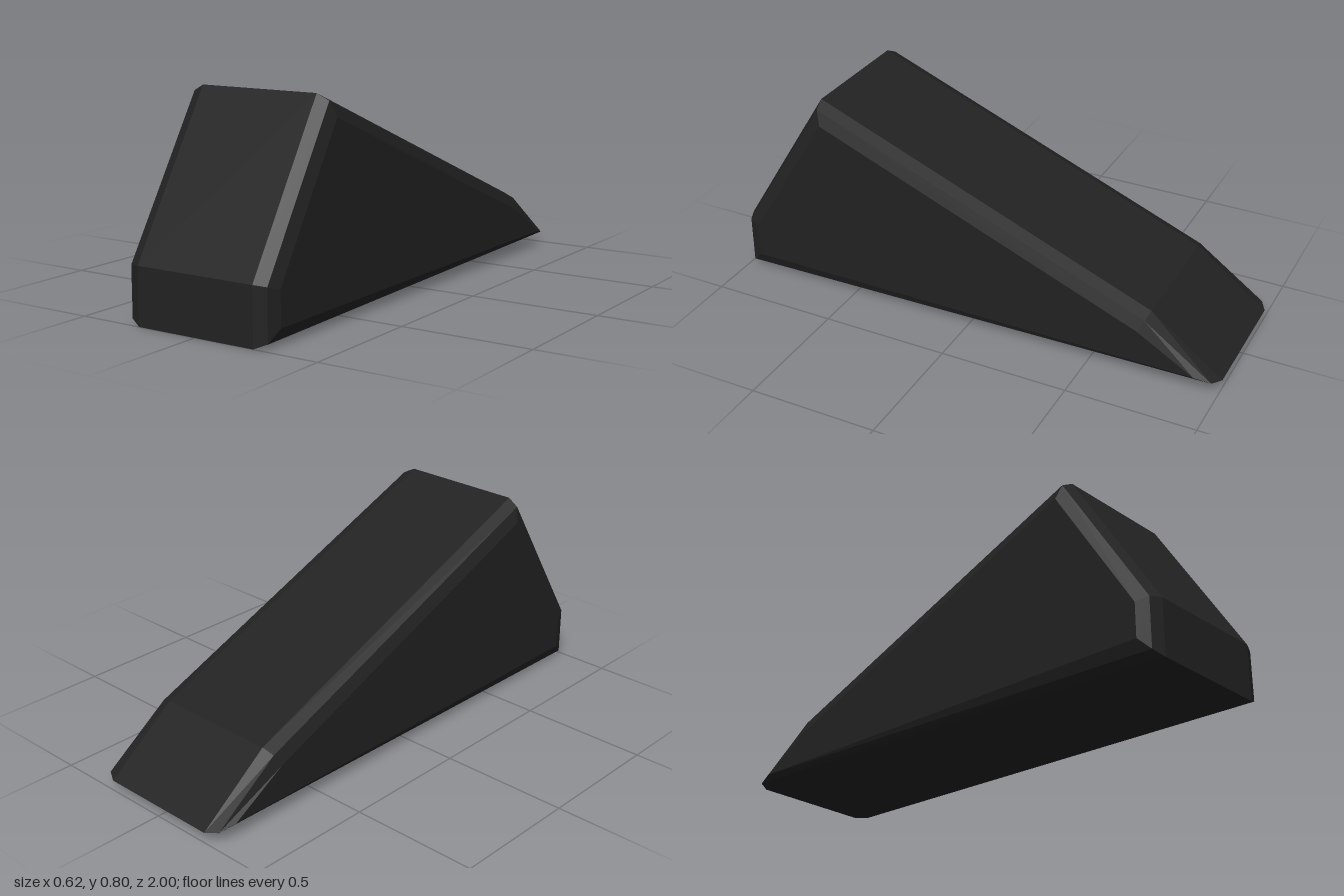
import * as THREE from 'three';

export function createModel() {
  const group = new THREE.Group();
  const charcoal = new THREE.MeshStandardMaterial({ color: 0x222222 });
  charcoal.name = 'charcoal';

  // Side profile as (z, y); the bevel grows it outwards by 0.065
  const bevel = 0.065;
  const profile = new THREE.Shape([
    [-0.913, 0.066], [0.935, 0.065], [0.935, 0.196], [0.609, 0.719], [-0.69, 0.197],
  ].map(([z, y]) => new THREE.Vector2(z, y)));

  // Wedge body, extruded across the width with two-step chamfered sides
  const width = 0.49;
  const geometry = new THREE.ExtrudeGeometry(profile, {
    depth: width,
    steps: 1,
    bevelEnabled: true,
    bevelThickness: bevel,
    bevelSize: bevel,
    bevelSegments: 2,
  });
  geometry.translate(0, 0, -width / 2);
  geometry.rotateY(-Math.PI / 2);

  const body = new THREE.Mesh(geometry, charcoal);
  body.name = 'wedgeBody';
  group.add(body);
  return group;
}
